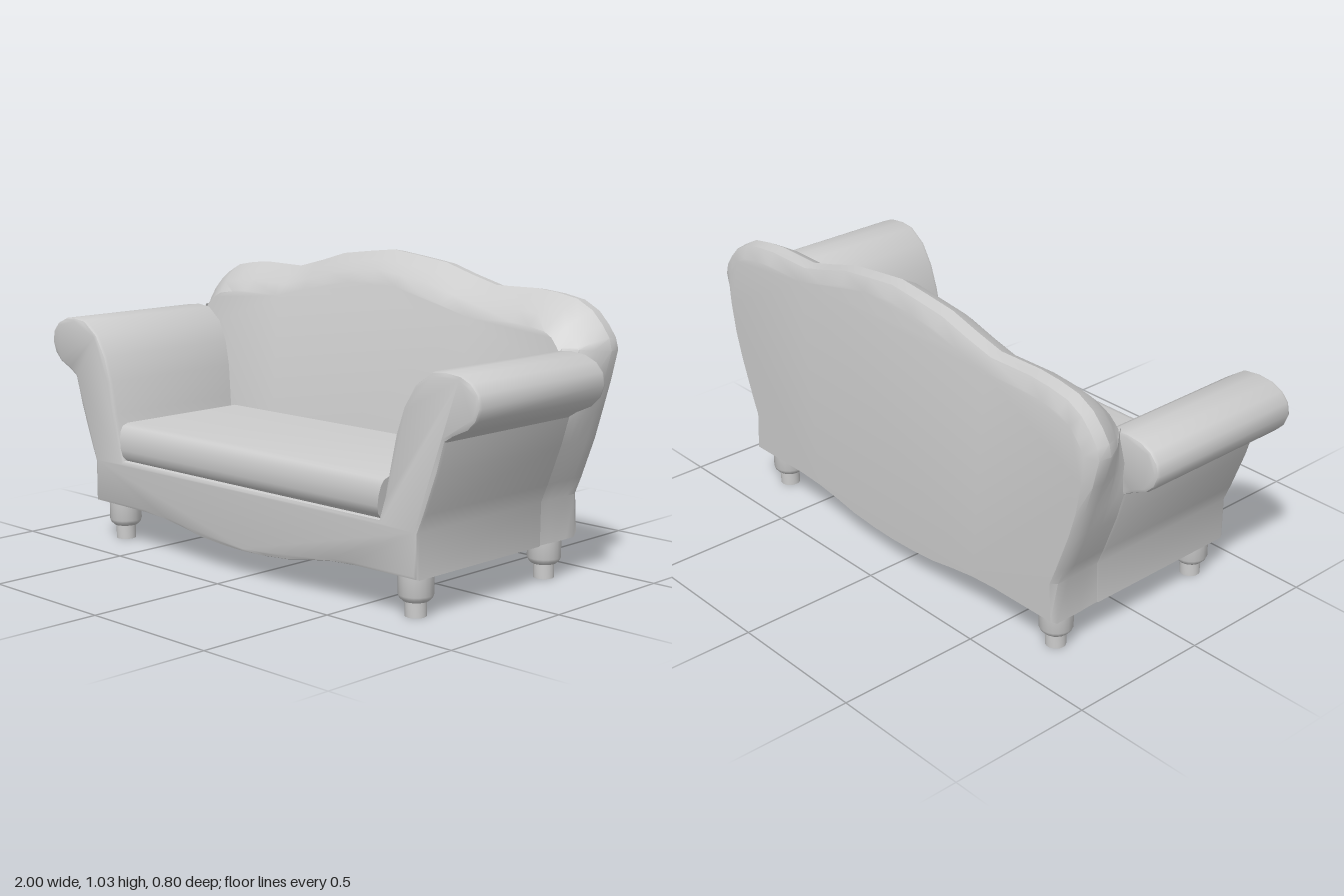
import * as THREE from 'three';
import { toCreasedNormals } from 'three/addons/utils/BufferGeometryUtils.js';

const material = new THREE.MeshStandardMaterial({ color: 0xcccccc });
const CREASE = 0.65;

function part(name, geometry) {
  const mesh = new THREE.Mesh(toCreasedNormals(geometry, CREASE), material);
  mesh.name = name;
  return mesh;
}

// Closed outline from its right half, listed from bottom centre to top centre
function mirrored(half) {
  const left = half.slice(1, -1).reverse().map(([x, y]) => [-x, y]);
  return [...half, ...left].map(([x, y]) => new THREE.Vector2(x, y));
}

// Scalloped lower rail and flared side, shared by the body and the back
const lowerSide = [
  [0, 0.085], [0.1, 0.088], [0.21, 0.097], [0.3, 0.113], [0.4, 0.127], [0.5, 0.133],
  [0.765, 0.135], [0.765, 0.28], [0.79, 0.34], [0.84, 0.475], [0.868, 0.57],
];

// Seat base with two rolled arms, one continuous front silhouette
function bodyGeometry() {
  const half = [
    ...lowerSide,
    [0.9, 0.59], [0.955, 0.615], [0.985, 0.645], [1, 0.685], [0.992, 0.725],
    [0.965, 0.755], [0.925, 0.773], [0.87, 0.779], [0.815, 0.773], [0.75, 0.728],
    [0.705, 0.655], [0.675, 0.57], [0.65, 0.46], [0.632, 0.375], [0.608, 0.3], [0, 0.3],
  ];
  const geometry = new THREE.ExtrudeGeometry(new THREE.Shape(mirrored(half)), {
    depth: 0.575, bevelThickness: 0.014, bevelSize: 0.012, bevelOffset: -0.012, bevelSegments: 2,
  });
  return geometry.translate(0, 0, -0.199);
}

// Padded back: rings of the outline, inset step by step towards a leaning front face
function backGeometry() {
  const outline = mirrored([
    ...lowerSide,
    [0.9, 0.67], [0.928, 0.77], [0.918, 0.81], [0.89, 0.85], [0.85, 0.892], [0.79, 0.924],
    [0.71, 0.938], [0.63, 0.945], [0.46, 0.942], [0.35, 0.97], [0.24, 1.002], [0.12, 1.017], [0, 1.03],
  ]);
  const n = outline.length;
  const normals = outline.map((p, i) => {
    const d = outline[(i + 1) % n].clone().sub(outline[(i + n - 1) % n]).normalize();
    return new THREE.Vector2(d.y, -d.x);
  });
  // z, inset of the upper part, inset of the lower part (null z = leaning face)
  const layers = [
    [-0.4, 0.05, 0.015], [-0.378, 0.007, 0], [-0.335, 0, 0], [-0.28, 0.03, 0],
    [-0.245, 0.062, 0.002], [null, 0.1, 0.004],
  ];
  const positions = [], index = [];
  const rings = layers.map(([z, upper, lower]) => outline.map((p, i) => {
    const inset = THREE.MathUtils.lerp(lower, upper, THREE.MathUtils.smoothstep(p.y, 0.57, 0.8));
    const q = p.clone().addScaledVector(normals[i], -inset);
    positions.push(q.x, q.y, z ?? -0.15 - 0.143 * (q.y - 0.43));
    return q;
  }));
  for (let k = 0; k < layers.length - 1; k++) {
    for (let i = 0; i < n; i++) {
      const a = k * n + i, b = k * n + (i + 1) % n;
      index.push(a, b, a + n, b, b + n, a + n);
    }
  }
  // Flat rear and front faces
  const last = (layers.length - 1) * n;
  for (const [a, b, c] of THREE.ShapeUtils.triangulateShape(rings[0], [])) index.push(a, c, b);
  for (const [a, b, c] of THREE.ShapeUtils.triangulateShape(rings.at(-1), [])) {
    index.push(last + a, last + b, last + c);
  }
  const geometry = new THREE.BufferGeometry();
  geometry.setAttribute('position', new THREE.Float32BufferAttribute(positions, 3));
  geometry.setIndex(index);
  return geometry;
}

// Seat cushion: side profile with a rounded front, widening slightly upwards
function cushionGeometry() {
  const profile = [
    [-0.25, 0.3], [0.375, 0.3], [0.39, 0.315], [0.397, 0.34], [0.397, 0.375],
    [0.39, 0.405], [0.378, 0.422], [0.355, 0.43], [-0.25, 0.43],
  ].map(([z, y]) => new THREE.Vector2(-z, y));
  const geometry = new THREE.ExtrudeGeometry(new THREE.Shape(profile.reverse()), { depth: 2, bevelEnabled: false });
  geometry.translate(0, 0, -1).rotateY(Math.PI / 2);
  const p = geometry.attributes.position;
  for (let i = 0; i < p.count; i++) {
    p.setX(i, p.getX(i) * (0.607 + 0.12 * (p.getY(i) - 0.3)));
  }
  return geometry;
}

// Turned foot
function legGeometry() {
  const profile = [
    [0, 0], [0.034, 0], [0.034, 0.048], [0.042, 0.05], [0.052, 0.06], [0.056, 0.07], [0.056, 0.15], [0, 0.15],
  ].map(([r, y]) => new THREE.Vector2(r, y));
  return new THREE.LatheGeometry(profile, 20);
}

export function createModel() {
  const sofa = new THREE.Group();
  sofa.name = 'sofa';
  sofa.add(
    part('baseAndArms', bodyGeometry()),
    part('back', backGeometry()),
    part('seatCushion', cushionGeometry()),
  );
  for (const x of [-0.695, 0.695]) {
    for (const z of [-0.313, 0.313]) {
      const leg = part((z > 0 ? 'front' : 'back') + (x > 0 ? 'Left' : 'Right') + 'Leg', legGeometry());
      leg.position.set(x, 0, z);
      sofa.add(leg);
    }
  }
  return sofa;
}
